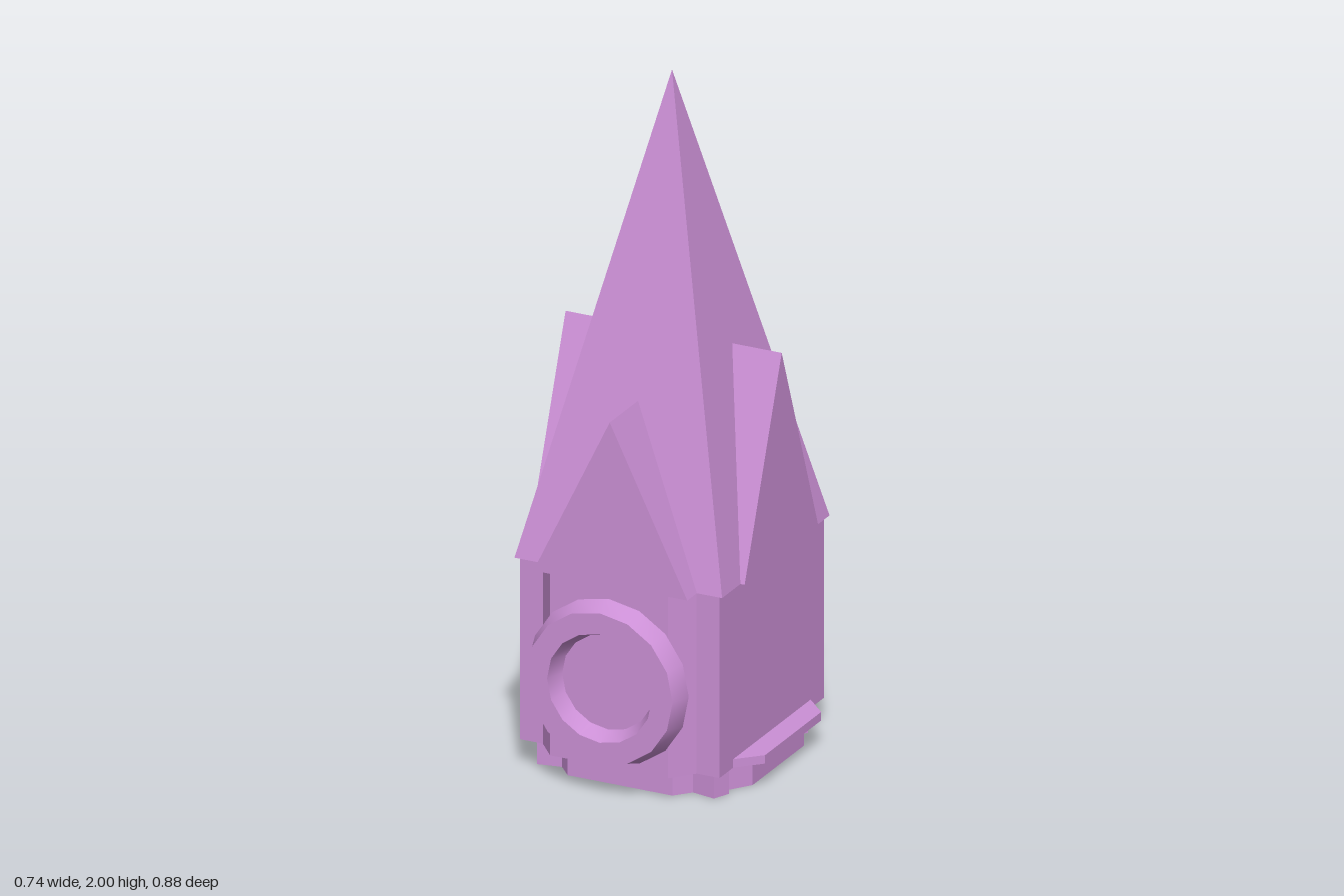
import * as THREE from 'three';
import { toCreasedNormals } from 'three/addons/utils/BufferGeometryUtils.js';

const flat = new THREE.MeshStandardMaterial({ color: 0xcc90d6, flatShading: true });
const smooth = new THREE.MeshStandardMaterial({ color: 0xcc90d6 });

function add(parent, name, geometry, material = flat) {
  const mesh = new THREE.Mesh(geometry, material);
  mesh.name = name;
  parent.add(mesh);
  return mesh;
}

// Mirrors one quadrant of a plan outline (from the +x side round to the +z side) into all four.
function mirrorPlan(quadrant) {
  const back = [...quadrant].reverse();
  return [
    ...quadrant,
    ...back.map(([x, z]) => [-x, z]),
    ...quadrant.map(([x, z]) => [-x, -z]),
    ...back.map(([x, z]) => [x, -z]),
  ];
}

const toVectors = (points) => points.map(([x, y]) => new THREE.Vector2(x, y));

function extrude(shape, depth) {
  return new THREE.ExtrudeGeometry(shape, { depth, bevelEnabled: false });
}

// Vertical slab with the given plan quadrant between two heights, hollow when wallScale is given.
function slab(quadrant, y0, y1, wallScale) {
  const outline = mirrorPlan(quadrant);
  const shape = new THREE.Shape(toVectors(outline));
  if (wallScale) {
    const inner = outline.map(([x, z]) => [x * wallScale, z * wallScale]);
    shape.holes.push(new THREE.Path(toVectors(inner)));
  }
  return extrude(shape, y1 - y0).rotateX(-Math.PI / 2).translate(0, y0, 0);
}

// Triangular roof prism running along z.
function gable(left, right, peakX, peakY, halfLength) {
  const y = 0.618;
  const shape = new THREE.Shape(toVectors([[left, y], [right, y], [peakX, peakY]]));
  return extrude(shape, halfLength * 2).translate(0, 0, -halfLength);
}

export function createModel() {
  const model = new THREE.Group();
  model.name = 'spiredTower';

  // Hollow foot: a thin wall with small bumps at its corners
  const foot = slab(
    [[0.322, 0.155], [0.275, 0.22], [0.292, 0.24], [0.27, 0.288], [0.2, 0.275], [0.16, 0.32]], 0, 0.08, 0.985);
  add(model, 'foot', foot).position.z = -0.005;

  // Side ledges
  add(model, 'sideLedges', slab([[0.37, 0.17], [0.305, 0.235]], 0.08, 0.105));

  // Body with notched corners
  add(model, 'body', slab([[0.305, 0.317], [0.235, 0.317], [0.18, 0.382]], 0.08, 0.62));

  // Four-sided spire
  const spire = new THREE.ConeGeometry(Math.SQRT2, 1.382, 4, 1, false, Math.PI / 4);
  add(model, 'spire', spire.scale(0.317, 1, 0.326).translate(0, 1.309, 0));

  // Crossing gables
  add(model, 'frontBackGable', gable(-0.23, 0.24, 0.003, 1.1, 0.384));
  add(model, 'sideGable', gable(-0.215, 0.235, 0.01, 1.22, 0.33).rotateY(Math.PI / 2));

  // Round window rims, front and back
  const profile = toVectors(
    [[0.15, 0.383], [0.244, 0.383], [0.223, 0.44], [0.16, 0.44], [0.14, 0.388], [0, 0.388]]);
  for (const [name, turn] of [['frontWindow', 0], ['backWindow', Math.PI]]) {
    const rim = toCreasedNormals(new THREE.LatheGeometry(profile, 16), 0.6).rotateX(Math.PI / 2);
    const mesh = add(model, name, rim, smooth);
    mesh.position.y = 0.333;
    mesh.rotation.y = turn;
  }

  return model;
}
